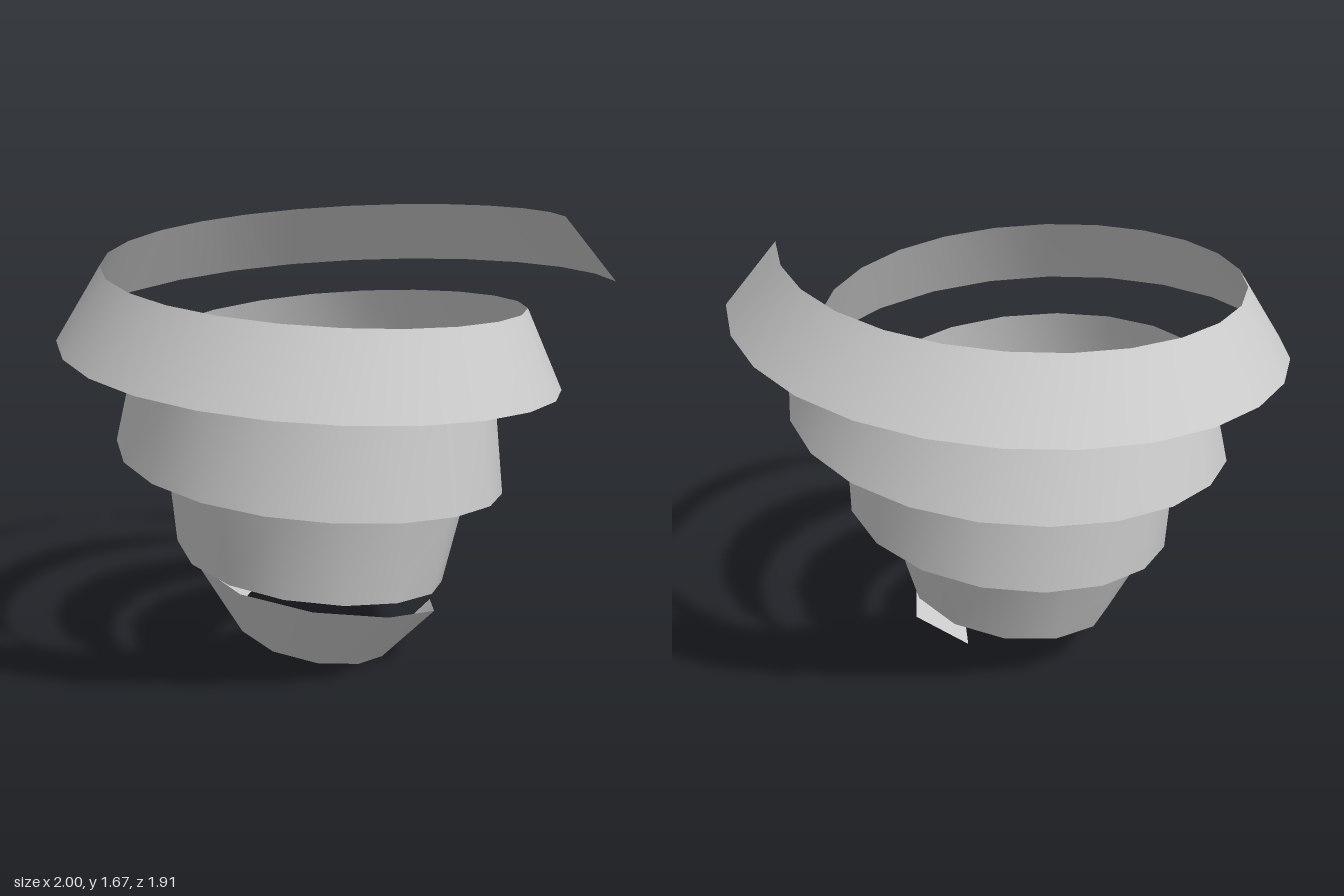
import * as THREE from 'three';

// Spiral axis, and the ribbon's edges by number of turns:
// [turns, lower radius, lower y, upper radius, upper y]
const AXIS_X = -0.046, AXIS_Z = 0.043;
const KEYS = [
  [-0.02, 0.222, 0, 0.43, 0.172],
  [0.25, 0.263, 0.06, 0.46, 0.33],
  [0.5, 0.326, 0.14, 0.486, 0.42],
  [1, 0.438, 0.29, 0.523, 0.625],
  [1.5, 0.54, 0.46, 0.574, 0.79],
  [2, 0.654, 0.65, 0.626, 0.995],
  [2.5, 0.754, 0.84, 0.682, 1.165],
  [3, 0.858, 1.04, 0.732, 1.34],
  [3.5, 0.957, 1.23, 0.794, 1.5],
  [4.026, 1.058, 1.435, 0.868, 1.67],
];

// Linear blend between neighbouring keys
function edgesAt(t) {
  let k = 0;
  while (k < KEYS.length - 2 && t > KEYS[k + 1][0]) k++;
  const a = KEYS[k], b = KEYS[k + 1];
  const f = (t - a[0]) / (b[0] - a[0]);
  return a.map((v, i) => v + (b[i] - v) * f);
}

// Ribbon widening upward, with equal step lengths along the spiral
function ribbonGeometry(steps) {
  const grow = 0.1565, base = 0.329;
  const r0 = base + grow * KEYS[0][0];
  const r1 = base + grow * KEYS[KEYS.length - 1][0];
  const positions = [], index = [];
  for (let i = 0; i <= steps; i++) {
    const r = Math.sqrt(r0 * r0 + (r1 * r1 - r0 * r0) * i / steps);
    const t = (r - base) / grow;
    const [, rLow, yLow, rTop, yTop] = edgesAt(t);
    const c = Math.cos(t * Math.PI * 2), s = Math.sin(t * Math.PI * 2);
    positions.push(AXIS_X + rLow * c, yLow, AXIS_Z + rLow * s);
    positions.push(AXIS_X + rTop * c, yTop, AXIS_Z + rTop * s);
    if (i < steps) {
      const a = i * 2;
      index.push(a, a + 1, a + 2, a + 2, a + 1, a + 3);
    }
  }
  const geometry = new THREE.BufferGeometry();
  geometry.setAttribute('position', new THREE.Float32BufferAttribute(positions, 3));
  geometry.setIndex(index);
  geometry.computeVertexNormals();
  return geometry;
}

export function createModel() {
  const group = new THREE.Group();
  group.name = 'spiralRibbon';
  const lightGrey = new THREE.MeshStandardMaterial({ color: 0xcccccc, side: THREE.DoubleSide });
  lightGrey.name = 'lightGrey';
  const ribbon = new THREE.Mesh(ribbonGeometry(72), lightGrey);
  ribbon.name = 'ribbon';
  group.add(ribbon);
  return group;
}
